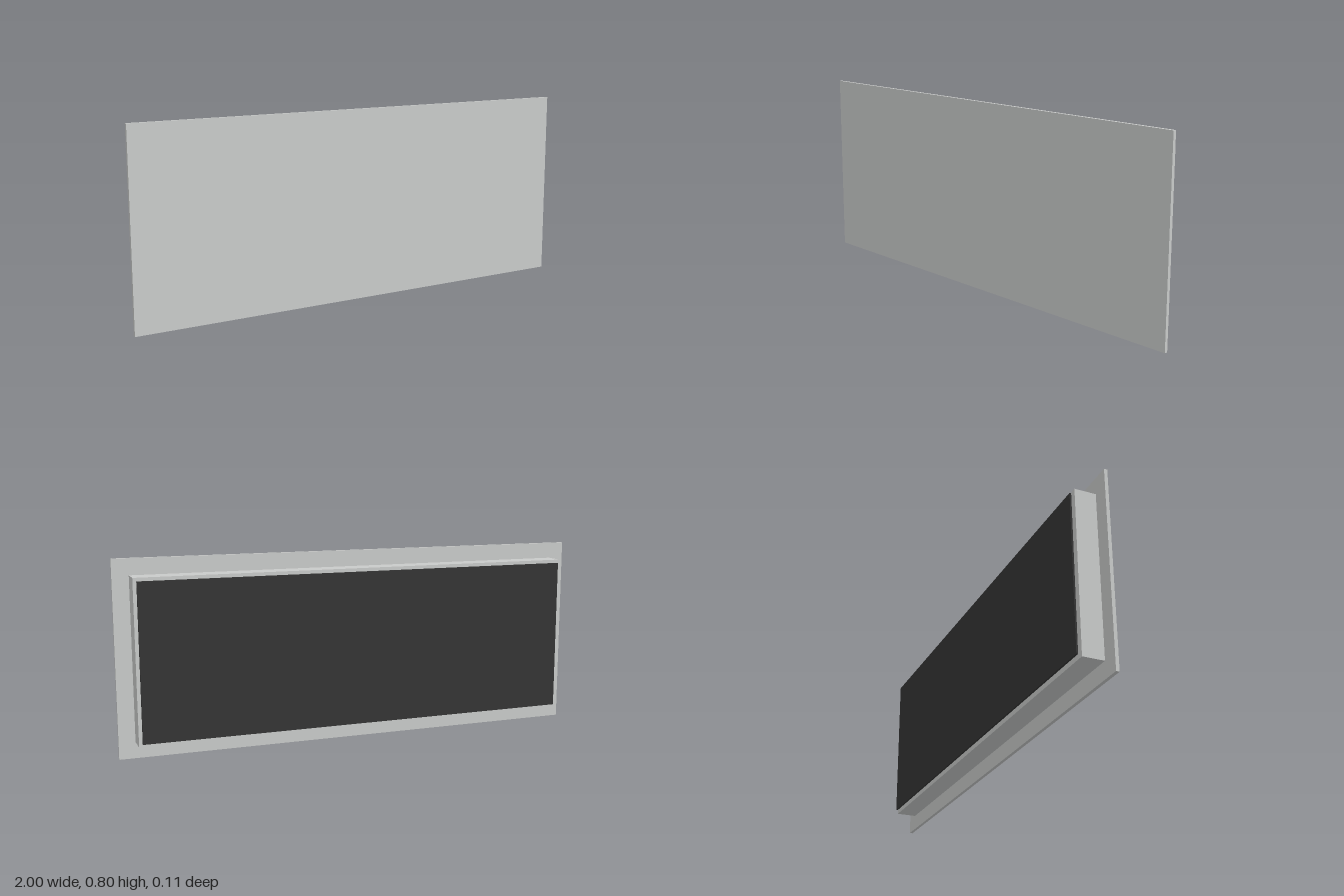
import * as THREE from 'three';

export function createModel() {
  const group = new THREE.Group();
  const lightGrey = new THREE.MeshStandardMaterial({ color: 0xc8cac9 });
  lightGrey.name = 'lightGrey';
  const charcoal = new THREE.MeshStandardMaterial({ color: 0x343434 });
  charcoal.name = 'charcoal';

  // Every part is a slab centred on the same height
  const slab = (name, width, height, zBack, zFront, material) => {
    const mesh = new THREE.Mesh(new THREE.BoxGeometry(width, height, zFront - zBack), material);
    mesh.name = name;
    mesh.position.set(0, 0.4, (zBack + zFront) / 2);
    group.add(mesh);
  };

  // Wide front plate
  slab('frontPlate', 2, 0.8, 0.0433, 0.0567, lightGrey);
  // Inset housing behind the plate
  slab('housing', 1.8667, 0.6667, -0.0433, 0.0433, lightGrey);
  // Thin dark panel, set just clear of the housing
  slab('backPanel', 1.84, 0.64, -0.0567, -0.05, charcoal);

  return group;
}
